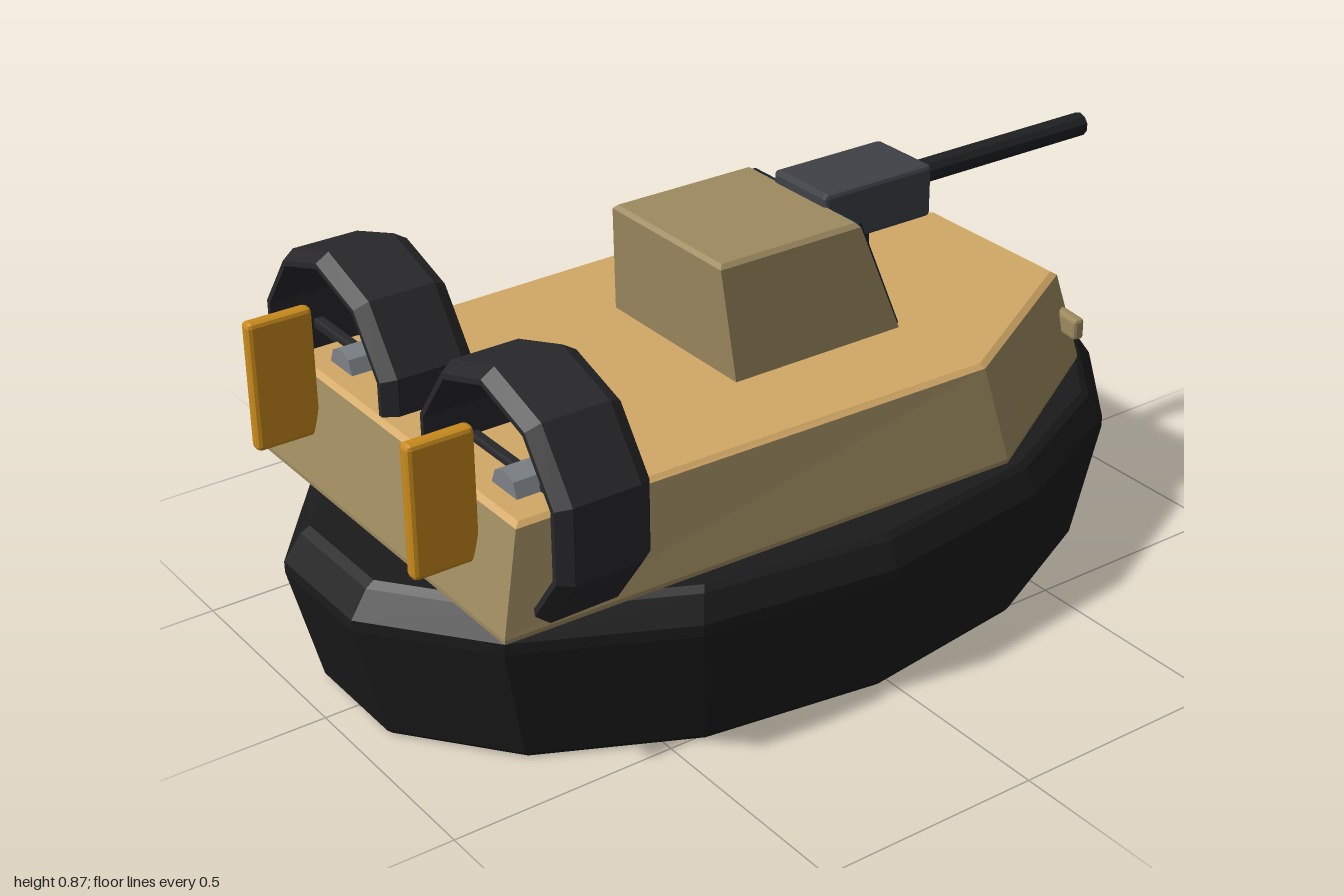
import * as THREE from 'three';
import { RoundedBoxGeometry } from 'three/addons/geometries/RoundedBoxGeometry.js';

const material = (color) => new THREE.MeshStandardMaterial({ color, flatShading: true });
const mats = {
  rubber: material(0x1b1b1b), tan: material(0x9d8a5f), deck: material(0xd2a866),
  duct: material(0x28282b), gun: material(0x3f4147), barrel: material(0x1f2022),
  glass: material(0x18222b), hub: material(0x7d8287), rudder: material(0xc88a1c),
};

// Skin over a stack of rings (listed bottom to top), closed with flat caps
function loft(rings, capTop = true) {
  const pos = [];
  const tri = (...points) => points.forEach((p) => pos.push(...p));
  const n = rings[0].length;
  for (let r = 0; r < rings.length - 1; r++) {
    const b = rings[r], t = rings[r + 1];
    for (let i = 0; i < n; i++) {
      const j = (i + 1) % n;
      tri(b[i], t[i], b[j]);
      tri(b[j], t[i], t[j]);
    }
  }
  const low = rings[0], top = rings[rings.length - 1];
  for (let k = 1; k < n - 1; k++) {
    tri(low[0], low[k], low[k + 1]);
    if (capTop) tri(top[0], top[k + 1], top[k]);
  }
  const g = new THREE.BufferGeometry();
  g.setAttribute('position', new THREE.Float32BufferAttribute(pos, 3));
  g.computeVertexNormals();
  return g;
}

// Hull outline mirrored from three right-hand points [x, z], front to back
const hullRing = (y, half) => [
  ...half.map(([x, z]) => [-x, y, z]),
  ...half.slice().reverse().map(([x, z]) => [x, y, z]),
];
// Rectangle ring with half width w between z0 and z1
const rectRing = (y, w, z0, z1) => [[w, y, z0], [w, y, z1], [-w, y, z1], [-w, y, z0]];

export function createModel() {
  const model = new THREE.Group();
  const add = (name, geometry, mat, x = 0, y = 0, z = 0, parent = model) => {
    const mesh = new THREE.Mesh(geometry, mat);
    mesh.name = name;
    mesh.position.set(x, y, z);
    parent.add(mesh);
    return mesh;
  };

  // Inflated skirt: fourteen-sided oval with bevelled rims
  const oval = (y, s) => Array.from({ length: 14 }, (_, i) => {
    const a = (i / 14) * Math.PI * 2;
    return [0.618 * s * Math.cos(a), y, 0.025 + s * Math.sin(a)];
  });
  add('skirt', loft([
    oval(0, 0.915), oval(0.012, 0.928), oval(0.275, 0.995),
    oval(0.3, 0.995), oval(0.355, 0.955), oval(0.367, 0.935),
  ]), mats.rubber);

  // Hull sides, then the lighter deck with a narrow bevel
  const base = [[0.475, 0.855], [0.507, -0.36], [0.235, -0.81]];
  const shoulder = [[0.435, 0.797], [0.457, -0.33], [0.208, -0.758]];
  const deckEdge = [[0.425, 0.785], [0.445, -0.325], [0.2, -0.745]];
  add('hull', loft([hullRing(0.367, base), hullRing(0.376, base), hullRing(0.577, shoulder)]), mats.tan);
  add('deck', loft([hullRing(0.577, shoulder), hullRing(0.586, deckEdge)]), mats.deck);

  // Cabin with a raked windscreen
  add('cabin', loft([
    rectRing(0.585, 0.217, -0.298, 0.13),
    rectRing(0.832, 0.192, -0.208, 0.15),
    rectRing(0.841, 0.183, -0.2, 0.142),
  ]), mats.tan);
  add('windscreen', loft([
    rectRing(0.59, 0.205, -0.306, -0.28),
    rectRing(0.835, 0.182, -0.217, -0.195),
  ]), mats.glass);

  // Gun on its post
  add('gunPost', new THREE.CylinderGeometry(0.038, 0.038, 0.18, 10), mats.barrel, 0, 0.67, -0.34);
  add('gunBody', new RoundedBoxGeometry(0.18, 0.12, 0.29, 1, 0.01), mats.gun, 0, 0.808, -0.34);
  add('gunBarrel', new THREE.CylinderGeometry(0.027, 0.027, 0.53, 10).rotateX(Math.PI / 2),
    mats.barrel, 0, 0.81, -0.735);

  // Ten-sided duct section: closed loop with chamfered outer edges
  const section = [
    [0.236, 0.105], [0.236, -0.105], [0.248, -0.105], [0.267, -0.075],
    [0.267, 0.075], [0.248, 0.105], [0.236, 0.105],
  ].map(([r, h]) => new THREE.Vector2(r, h));

  for (const side of [-1, 1]) {
    const label = side > 0 ? 'left' : 'right';

    // Fan: duct, crossbar and hub
    const fan = new THREE.Group();
    fan.name = label + 'Fan';
    fan.position.set(side * 0.313, 0.585, 0.68);
    model.add(fan);
    add('duct', new THREE.LatheGeometry(section, 10).rotateX(-Math.PI / 2), mats.duct, 0, 0, 0, fan);
    add('crossbar', new RoundedBoxGeometry(0.435, 0.024, 0.024, 1, 0.005), mats.duct, 0, 0.003, 0, fan);
    add('hub', new THREE.CylinderGeometry(0.045, 0.045, 0.13, 8).rotateX(Math.PI / 2),
      mats.hub, 0, 0, 0, fan);

    add(label + 'Rudder', new RoundedBoxGeometry(0.034, 0.287, 0.145, 1, 0.01),
      mats.rudder, side * 0.31, 0.607, 0.882);

    // Lamp on the sloping bow
    const lamp = add(label + 'Lamp', new RoundedBoxGeometry(0.08, 0.05, 0.028, 1, 0.008),
      mats.tan, side * 0.26, 0.48, -0.752);
    lamp.rotation.y = side * -0.12;
  }
  return model;
}
